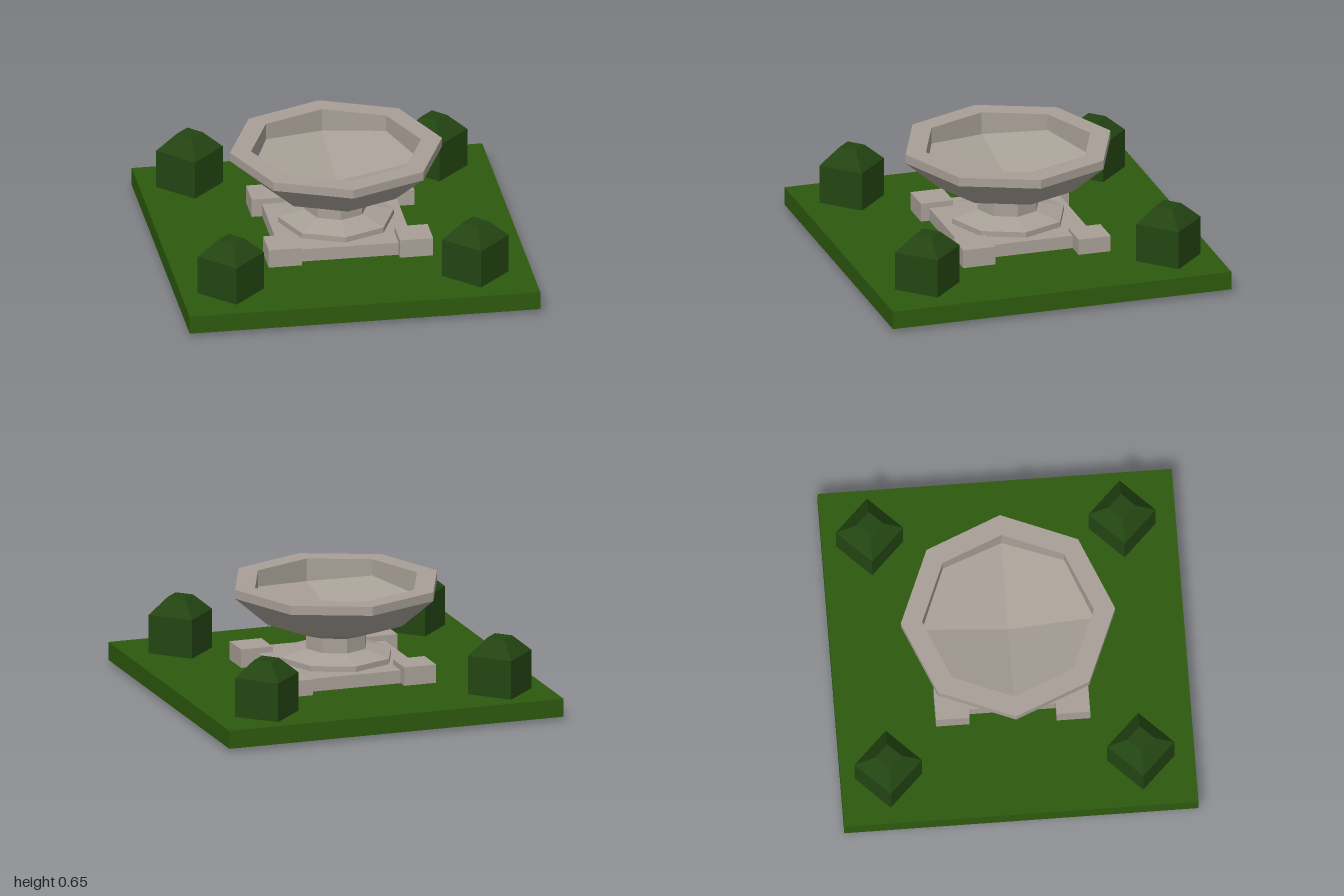
import * as THREE from 'three';

const material = (name, color) => {
  const m = new THREE.MeshStandardMaterial({ color, flatShading: true, side: THREE.DoubleSide });
  m.name = name;
  return m;
};

// Box without a bottom face
function openBox(w, d, y0, y1) {
  const geo = new THREE.BoxGeometry(w, y1 - y0, d);
  const index = Array.from(geo.index.array);
  index.splice(18, 6);
  geo.setIndex(index);
  geo.clearGroups();
  return geo.translate(0, (y0 + y1) / 2, 0);
}

// Faceted turned shape from [radius, height] points, corners on the axes
function turned(points, sides) {
  return new THREE.LatheGeometry(points.map(([r, y]) => new THREE.Vector2(r, y)), sides);
}

function flat(geo) {
  const g = geo.toNonIndexed();
  g.computeVertexNormals();
  return g;
}

export function createModel() {
  const model = new THREE.Group();
  model.name = 'gardenBirdbath';
  const grass = material('grass green', 0x2d5a0e);
  const leaf = material('hedge green', 0x234512);
  const stone = material('stone', 0xa8a097);

  const add = (name, geo, mat, x = 0, z = 0) => {
    const mesh = new THREE.Mesh(flat(geo), mat);
    mesh.name = name;
    mesh.position.set(x, 0, z);
    model.add(mesh);
  };

  // Lawn slab, hollow underneath
  add('lawn', openBox(2, 2, 0.02, 0.125), grass);

  // Clipped shrubs near the corners
  const shrubProfile = [[0.19, 0.085], [0.19, 0.35], [0.075, 0.445], [0, 0.445]];
  for (const x of [-0.715, 0.68])
    for (const z of [-0.73, 0.695]) add('shrub', turned(shrubProfile, 4), leaf, x, z);

  // Square plinth with a hollow block on each corner
  add('plinth', openBox(0.76, 0.76, 0.115, 0.2), stone);
  const blocks = [
    [-0.345, -0.345, 0.015], [0.395, -0.355, 0],
    [-0.36, 0.335, 0.015], [0.39, 0.325, 0.015],
  ];
  for (const [x, z, y] of blocks) add('cornerBlock', openBox(0.19, 0.19, y, y + 0.217), stone, x, z);

  // Octagonal foot and stem
  add('foot', turned([[0.33, 0.2], [0.33, 0.232], [0.18, 0.27]], 8), stone);
  add('stem', turned([[0.18, 0.27], [0.18, 0.355]], 8), stone);

  // Bowl: outside, rim, inner wall and sloping floor
  const profile = [
    [0.18, 0.355], [0.41, 0.43], [0.605, 0.6], [0.605, 0.652],
    [0.485, 0.652], [0.485, 0.52], [0, 0.43],
  ];
  const bowl = turned(profile, 8);
  // Raise every other floor corner so the floor folds into four flat planes
  for (let i = 1; i < 8; i += 2) bowl.attributes.position.setY(i * profile.length + 5, 0.557);
  add('bowl', bowl, stone);

  return model;
}
